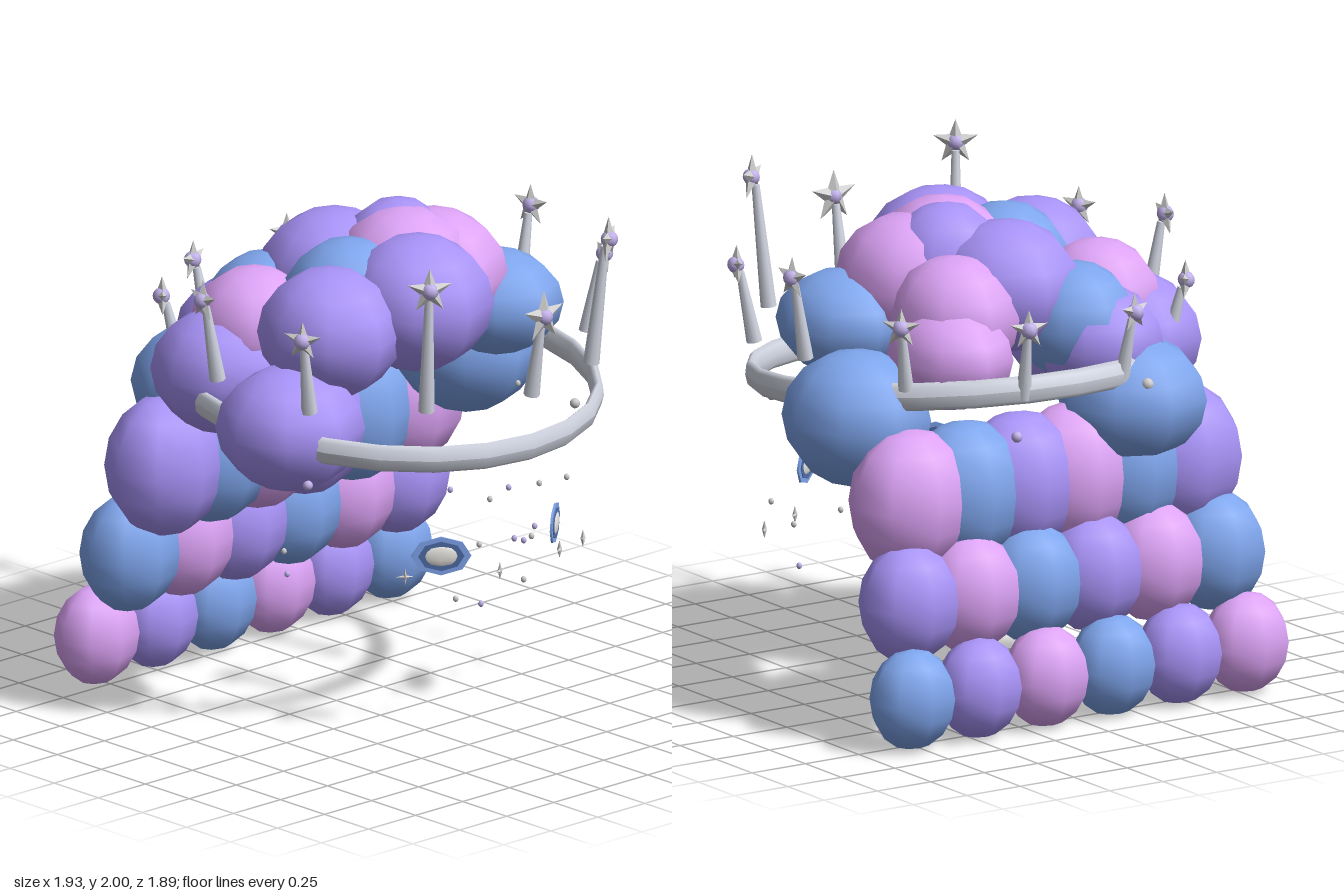
import * as THREE from 'three';

const mat = (color, opts = {}) => new THREE.MeshStandardMaterial({ color, ...opts });
const blue = mat(0x7fa6ee), purple = mat(0xa994fa), pink = mat(0xdea4f8);
const grey = mat(0xcccccc), lavender = mat(0xc0b0ea), white = mat(0xe8e6e2);
const silver = mat(0xd2d6e2, { side: THREE.DoubleSide });
const flatGrey = mat(0xcccccc, { flatShading: true });
const ballGeo = new THREE.SphereGeometry(1, 8, 8);

function add(parent, name, geo, material, pos = [0, 0, 0]) {
  const m = new THREE.Mesh(geo, material);
  m.name = name;
  m.position.set(...pos);
  parent.add(m);
  return m;
}

function ball(parent, name, material, pos, r) {
  const m = add(parent, name, ballGeo, material, pos);
  m.scale.set(...(Array.isArray(r) ? r : [r, r, r]));
  return m;
}

// Faceted star: zigzag rim with a raised centre on both sides
function starGeometry(points, outer, inner, depth) {
  const rim = [], v = [];
  for (let i = 0; i < points * 2; i++) {
    const a = Math.PI / 2 + i * Math.PI / points, r = i % 2 ? inner : outer;
    rim.push([r * Math.cos(a), r * Math.sin(a), 0]);
  }
  rim.forEach((p, i) => {
    const q = rim[(i + 1) % rim.length];
    v.push(...p, ...q, 0, 0, depth, ...q, ...p, 0, 0, -depth);
  });
  const g = new THREE.BufferGeometry();
  g.setAttribute('position', new THREE.Float32BufferAttribute(v, 3));
  g.computeVertexNormals();
  return g;
}

// Tapered post between two points
function post(parent, a, b, ra, rb) {
  const d = b.clone().sub(a);
  const m = add(parent, 'crownPost', new THREE.CylinderGeometry(rb, ra, d.length(), 8), silver);
  m.position.copy(a).add(b).multiplyScalar(0.5);
  m.quaternion.setFromUnitVectors(new THREE.Vector3(0, 1, 0), d.normalize());
}

function makeHair() {
  const hair = new THREE.Group();
  hair.name = 'hair';
  // Hanging rows at the back: y, z, spacing, radii, colour offset
  const cycle = [pink, purple, blue];
  [
    [0.205, -0.795, 0.312, [0.185, 0.2, 0.147], 0],
    [0.555, -0.675, 0.286, [0.215, 0.237, 0.178], 2],
    [0.925, -0.56, 0.252, [0.268, 0.288, 0.213], 1],
  ].forEach(([y, z, step, r, shift]) => {
    for (let i = 0; i < 6; i++)
      ball(hair, 'backCurl', cycle[(i + shift) % 3], [(i - 2.5) * step, y, z], r);
  });
  // Large curls over the head
  [
    [purple, [-0.65, 1.25, 0.165], [0.295, 0.245, 0.287]],
    [blue, [0.675, 1.2, -0.25], [0.295, 0.268, 0.297]],
    [blue, [0.515, 1.49, 0.09], [0.255, 0.205, 0.27]],
    [purple, [-0.045, 1.645, 0.24], [0.3, 0.268, 0.296]],
    [purple, [-0.415, 1.58, 0.14], [0.28, 0.257, 0.288]],
    [pink, [0.255, 1.64, 0.01], [0.29, 0.26, 0.295]],
    [pink, [0.09, 1.68, 0.02], [0.28, 0.265, 0.285]],
    [purple, [0.145, 1.684, -0.08], [0.25, 0.264, 0.235]],
    [purple, [-0.01, 1.635, -0.27], [0.298, 0.258, 0.297]],
    [blue, [-0.195, 1.62, 0.01], [0.265, 0.26, 0.265]],
    [blue, [-0.225, 1.5, -0.42], [0.25, 0.23, 0.255]],
    [pink, [-0.445, 1.52, -0.26], [0.252, 0.235, 0.252]],
    [pink, [0.27, 1.56, -0.33], [0.255, 0.245, 0.26]],
    [pink, [0.35, 1.435, -0.42], [0.24, 0.207, 0.265]],
    [purple, [-0.57, 1.36, -0.3], [0.284, 0.25, 0.285]],
    [purple, [-0.3, 1.42, -0.48], [0.26, 0.22, 0.26]],
    [blue, [-0.38, 1.2, -0.6], [0.305, 0.245, 0.282]],
  ].forEach(([m, p, r]) => ball(hair, 'headCurl', m, p, r));
  return hair;
}

function makeCrown() {
  const crown = new THREE.Group();
  crown.name = 'crown';
  // Tilted band with a tall oval section
  const section = [];
  for (let i = 0; i <= 8; i++) {
    const a = i * Math.PI / 4;
    section.push(new THREE.Vector2(0.817 + 0.024 * Math.cos(a), 0.055 * Math.sin(a)));
  }
  const band = add(crown, 'crownBand', new THREE.LatheGeometry(section, 24), silver, [0, 1.273, 0.025]);
  band.rotation.x = 0.105;

  // Eleven starred posts, mirrored about the front one: base y, star y, star size
  const spikes = [[1.4, 1.735, 0.106], [1.4, 1.912, 0.092], [1.38, 1.69, 0.08],
    [1.42, 1.755, 0.085], [1.36, 1.62, 0.08], [1.32, 1.61, 0.08]];
  for (let i = -5; i <= 5; i++) {
    const [y0, y1, size] = spikes[Math.abs(i)], a = i * Math.PI * 2 / 11;
    const at = (r, y) => new THREE.Vector3(r * Math.sin(a), y, r * Math.cos(a) + 0.03);
    post(crown, at(0.81, y0), at(0.865, y1 - 0.03), 0.032, 0.016);
    const star = add(crown, 'crownStar', starGeometry(5, size, size * 0.42, 0.027), flatGrey);
    star.position.copy(at(0.88, y1));
    star.rotation.y = a;
    ball(crown, 'starGem', lavender, at(0.883, y1).toArray(), 0.034);
  }
  return crown;
}

function makeFace() {
  const face = new THREE.Group();
  face.name = 'face';
  // Eyes: flat octagonal rims with pale centres
  for (const s of [-1, 1]) {
    const eye = new THREE.Group();
    eye.name = s > 0 ? 'leftEye' : 'rightEye';
    eye.position.set(s * 0.302, 0.763, 0.65);
    eye.rotation.y = s * 0.68;
    const disc = (name, r, t, m) => {
      const d = add(eye, name, new THREE.CylinderGeometry(r, r, t, 8), m);
      d.rotation.x = Math.PI / 2;
    };
    disc('eyeRim', 0.078, 0.008, blue);
    disc('iris', 0.06, 0.014, mat(0x4f6da8));
    ball(eye, 'pupil', white, [0, 0, 0], [0.052, 0.046, 0.015]);
    eye.scale.x = 1.5;
    face.add(eye);
  }
  // Small beads floating around the face
  [
    [-0.09, 0.96, 0.7], [0, 0.99, 0.71], [-0.11, 0.77, 0.66], [0.03, 0.775, 0.71],
    [0.15, 0.75, 0.68], [-0.31, 1.05, 0.71], [0.12, 1.37, 0.635], [0.155, 0.72, 0.63],
    [-0.15, 0.535, 0.57], [-0.1, 0.525, 0.66], [0.155, 0.56, 0.63], [-0.41, 1.14, 0.57],
    [-0.66, 0.74, 0.14], [-0.615, 0.63, 0.11], [0.725, 0.7, 0.11], [0.7, 0.53, 0.11],
    [0.73, 0.76, 0.26],
  ].forEach((p, i) => ball(face, 'bead', i % 2 ? lavender : grey, p, [0.011, 0.013, 0.011]));
  ball(face, 'largeBead', grey, [0.61, 1.13, 0.435], 0.02);
  ball(face, 'largeBead', lavender, [-0.73, 1.075, 0.35], 0.02);
  ball(face, 'largeBead', grey, [-0.31, 1.31, -0.81], 0.025);
  ball(face, 'largeBead', lavender, [0.325, 1.2, -0.845], 0.022);
  // Four-pointed sparkles
  [[0.43, 0.6, 0.54], [0.62, 0.585, 0.47], [0.16, 0.56, 0.49], [-0.41, 0.68, 0.56]]
    .forEach((p) => {
      const s = add(face, 'sparkle', starGeometry(4, 0.036, 0.009, 0.01), flatGrey, p);
      s.rotation.y = Math.atan2(p[0], p[2]);
    });
  return face;
}

export function createModel() {
  const model = new THREE.Group();
  model.name = 'crownedCurlyHair';
  model.add(makeHair(), makeCrown(), makeFace());
  return model;
}
